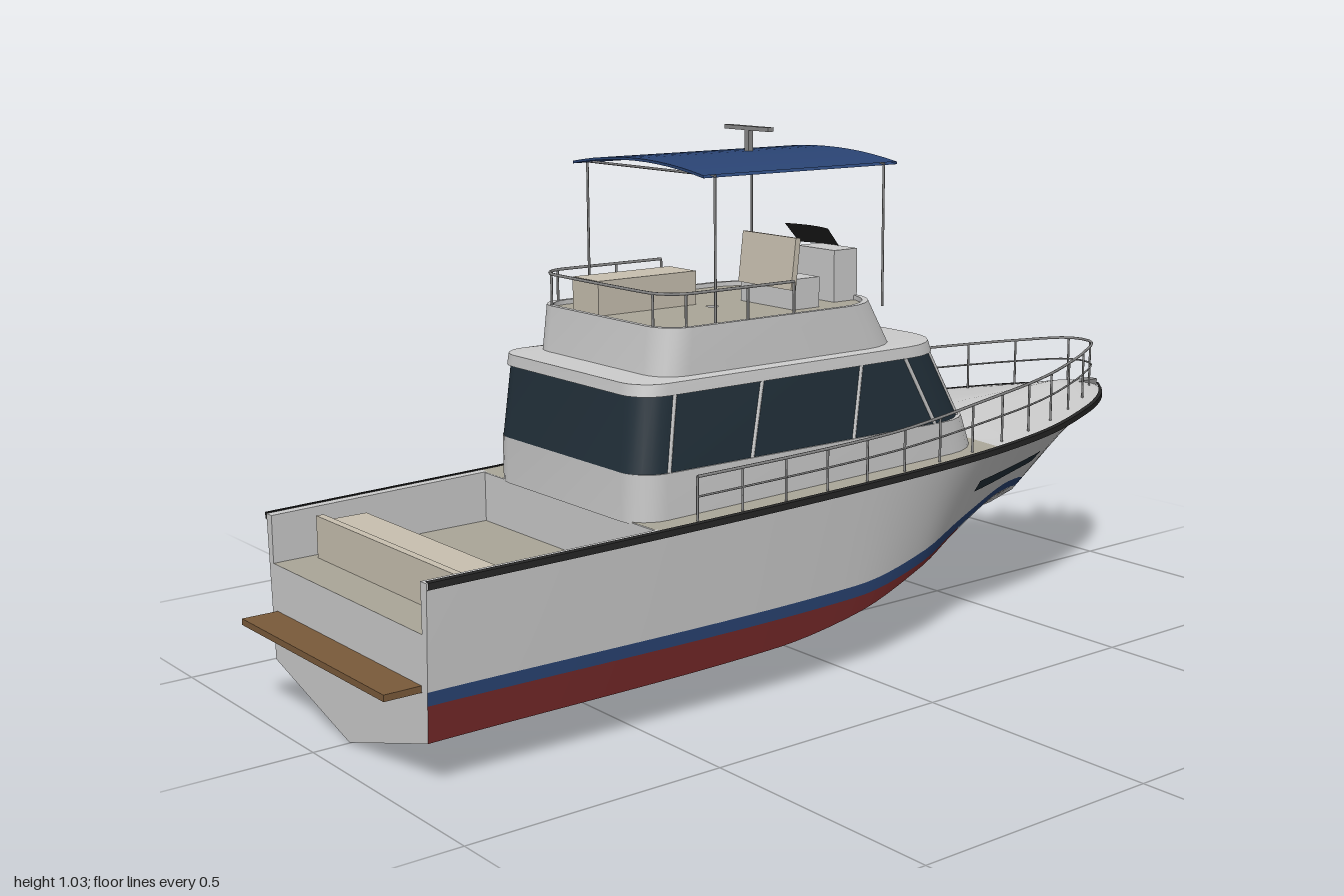
import * as THREE from 'three';
import { toCreasedNormals, mergeGeometries } from 'three/addons/utils/BufferGeometryUtils.js';

const V = (x, y, z) => new THREE.Vector3(x, y, z);
const mat = (color) => new THREE.MeshStandardMaterial({ color, side: THREE.DoubleSide });
const M = {
  grey: mat(0xcccccc), red: mat(0x742828), blue: mat(0x2a4474), glass: mat(0x22303a), dark: mat(0x262626),
  deck: mat(0xaaa698), cushion: mat(0xc8c0b0), wood: mat(0x7a5a3a), metal: mat(0x8a8a8a),
};

// Smooth curve through [x, value] points
function curve(pts) {
  const slope = (i) => {
    const a = pts[Math.max(i - 1, 0)], b = pts[Math.min(i + 1, pts.length - 1)];
    return (b[1] - a[1]) / (b[0] - a[0]);
  };
  return (x) => {
    let i = 0;
    while (i < pts.length - 2 && x > pts[i + 1][0]) i++;
    const [x0, a] = pts[i], [x1, b] = pts[i + 1], h = x1 - x0;
    const t = THREE.MathUtils.clamp((x - x0) / h, 0, 1), t2 = t * t, t3 = t2 * t;
    return a * (2 * t3 - 3 * t2 + 1) + b * (3 * t2 - 2 * t3) + h * (slope(i) * (t3 - 2 * t2 + t) + slope(i + 1) * (t3 - t2));
  };
}

// Hull lines: the chine rises to meet the painted stripe and follows it to the stem
const keelY = curve([[-0.93, 0], [-0.5, 0], [-0.3, 0], [-0.15, 0.01], [0.06, 0.05], [0.3, 0.11], [0.55, 0.162], [0.68, 0.178], [0.74, 0.213], [0.87, 0.305], [0.99, 0.395]]);
const chineYRaw = curve([[-0.93, 0.08], [-0.2, 0.09], [0, 0.115], [0.2, 0.165], [0.4, 0.212], [0.55, 0.235], [0.65, 0.222], [0.71, 0.2], [0.74, 0.213]]);
const chineZRaw = curve([[-0.93, 0.275], [0, 0.283], [0.2, 0.255], [0.33, 0.208], [0.5, 0.145], [0.6, 0.102], [0.68, 0.045], [0.74, 0]]);
const sheerY = curve([[-0.93, 0.355], [-0.4, 0.365], [0.4, 0.385], [0.99, 0.402]]);
const sheerZ = curve([[-0.93, 0.287], [-0.5, 0.3], [-0.1, 0.305], [0.2, 0.298], [0.4, 0.278], [0.6, 0.235], [0.8, 0.155], [0.9, 0.098], [0.96, 0.048], [0.99, 0.004]]);
const stripeY = curve([[-0.93, 0.157], [0, 0.162], [0.2, 0.188], [0.4, 0.228], [0.55, 0.25], [0.65, 0.237], [0.74, 0.205], [0.78, 0.15]]);
const chineY = (x) => (x < 0.74 ? Math.max(chineYRaw(x), keelY(x)) : keelY(x));
const chineZ = (x) => (x < 0.74 ? Math.max(chineZRaw(x), 0) : 0);
const sidePoint = (x, y, out = 0) => {
  const f = (y - chineY(x)) / (sheerY(x) - chineY(x));
  return V(x, y, THREE.MathUtils.lerp(chineZ(x), sheerZ(x), f) + out);
};

const range = (a, b, n) => Array.from({ length: n + 1 }, (_, i) => a + (b - a) * i / n);
const flip = (p) => V(p.x, p.y, -p.z);

// Surface through rows of points, optionally keeping only chosen cells
function surface(rows, keep = () => true) {
  const pos = [];
  for (let i = 0; i < rows.length - 1; i++) for (let j = 0; j < rows[0].length - 1; j++) {
    if (!keep(i, j)) continue;
    const a = rows[i][j], b = rows[i + 1][j], c = rows[i + 1][j + 1], d = rows[i][j + 1];
    for (const p of [a, b, c, a, c, d]) pos.push(p.x, p.y, p.z);
  }
  const g = new THREE.BufferGeometry();
  g.setAttribute('position', new THREE.Float32BufferAttribute(pos, 3));
  return toCreasedNormals(g, 0.5);
}

// Outline with rounded corners, seen from above; the front corners are larger
function ring(x0, x1, hz, y, scale = 1) {
  const pts = [], f = 0.12 * scale, r = 0.06 * scale;
  const corner = (cx, cz, rad, a) => {
    for (let i = 0; i <= 6; i++) {
      const t = a - (i / 6) * Math.PI / 2;
      pts.push(V(cx + rad * Math.cos(t), y, cz + rad * Math.sin(t)));
    }
  };
  corner(x1 - f, hz - f, f, Math.PI / 2);
  corner(x1 - f, f - hz, f, 0);
  corner(x0 + r, r - hz, r, -Math.PI / 2);
  corner(x0 + r, hz - r, r, -Math.PI);
  pts.push(pts[0].clone());
  return pts;
}

function barGeometry(p, q, r) {
  const d = q.clone().sub(p);
  const g = new THREE.CylinderGeometry(r, r, d.length(), 6);
  g.applyQuaternion(new THREE.Quaternion().setFromUnitVectors(V(0, 1, 0), d.clone().normalize()));
  const c = p.clone().add(q).multiplyScalar(0.5);
  return g.translate(c.x, c.y, c.z);
}
const tube = (pts, r) => new THREE.TubeGeometry(new THREE.CatmullRomCurve3(pts), pts.length * 4, r, 6);

export function createModel() {
  const boat = new THREE.Group();
  boat.name = 'motorYacht';
  const add = (name, geo, m) => {
    const mesh = new THREE.Mesh(geo, m);
    mesh.name = name;
    boat.add(mesh);
    return mesh;
  };
  // Box from its minimum and maximum corners
  const box = (name, m, x0, x1, y0, y1, z0, z1) => add(name,
    new THREE.BoxGeometry(x1 - x0, y1 - y0, z1 - z0).translate((x0 + x1) / 2, (y0 + y1) / 2, (z0 + z1) / 2), m);

  // Hull: sections from keel to sheer, painted cell by cell
  const xs = range(-0.93, 0.99, 64);
  const section = (x) => {
    const k = V(x, keelY(x), 0), c = V(x, chineY(x), chineZ(x));
    const lim = (y) => THREE.MathUtils.clamp(y, c.y, sheerY(x));
    const sb = lim(stripeY(x) - 0.012), st = lim(stripeY(x) + 0.012);
    return [k, k.clone().lerp(c, 0.5), c, sidePoint(x, sb), ...range(st, sheerY(x), 4).map((y) => sidePoint(x, y))];
  };
  const paint = (i, j) => {
    const x = xs[i];
    if (j === 3) return 'blue';
    if (j > 3) return 'grey';
    if (j === 0) return x < 0.34 ? 'red' : x < 0.46 ? 'blue' : 'grey';
    if (j === 1) return x < 0.2 ? 'red' : x < 0.34 ? 'blue' : 'grey';
    return x < 0.34 ? 'red' : 'grey';
  };
  const half = xs.map(section), mirrored = half.map((s) => s.map(flip));
  for (const c of ['grey', 'blue', 'red']) {
    const keep = (i, j) => paint(i, j) === c;
    add(c + 'HullPaint', mergeGeometries([surface(half, keep), surface(mirrored, keep)]), M[c]);
  }

  // Transom with the open stern between the bulwarks
  const zs = sheerZ(-0.93), ys = sheerY(-0.93), floorY = 0.265;
  const stern = new THREE.Shape([[0, 0], [0.275, 0.08], [zs, ys], [zs - 0.02, ys], [zs - 0.02, floorY],
    [0.02 - zs, floorY], [0.02 - zs, ys], [-zs, ys], [-0.275, 0.08]].map((p) => new THREE.Vector2(...p)));
  add('transom', new THREE.ShapeGeometry(stern).rotateY(-Math.PI / 2).translate(-0.93, 0, 0), M.grey);
  box('swimPlatform', M.wood, -1, -0.925, 0.164, 0.176, -0.26, 0.26);

  // Bulwarks, rub rails and hull windows on both sides
  for (const s of [1, -1]) {
    const side = (p) => (s > 0 ? p : flip(p));
    const bulwark = range(-0.93, -0.46, 8).map((x) => {
      const z = sheerZ(x), y = sheerY(x);
      return [V(x, y, z), V(x, y, z - 0.02), V(x, floorY, z - 0.02)].map(side);
    });
    add('bulwark', surface(bulwark), M.grey);
    const rub = xs.map((x) => {
      const z = sheerZ(x), y = sheerY(x);
      return [[y - 0.012, z - 0.002], [y - 0.01, z + 0.005], [y + 0.002, z + 0.005], [y + 0.003, z - 0.005]]
        .map(([yy, zz]) => side(V(x + (x > 0.98 ? 0.01 : 0), yy, Math.max(zz, 0))));
    });
    add('rubRail', surface(rub), M.dark);
    const pane = range(0.36, 0.63, 8).map((x) => [0.297, 0.32].map((y) => side(sidePoint(x + (y - 0.3) * 0.4, y + (x - 0.5) * 0.03, 0.004))));
    add('hullWindow', surface(pane), M.glass);
  }

  // Decks: flat beside the house, cambered on the foredeck
  const deckRow = (x) => range(-1, 1, 10).map((t) => {
    const z = sheerZ(x) * t;
    const rise = 0.027 * THREE.MathUtils.smoothstep(x, 0.33, 0.48) * Math.min(1, sheerZ(x) / 0.12);
    return V(x, sheerY(x) + rise * (1 - Math.abs(t)), z);
  });
  add('sideDeck', surface(range(-0.47, 0.4, 20).map(deckRow)), M.deck);
  add('foredeck', surface(range(0.4, 0.99, 24).map(deckRow)), M.grey);
  box('bowRoller', M.metal, 0.93, 0.99, 0.4, 0.415, -0.012, 0.012);

  // Cockpit: floor fitted between the bulwarks, with a bench across the stern
  const floor = range(-0.93, -0.46, 8).map((x) => [1, -1].map((s) => V(x, floorY, s * (sheerZ(x) - 0.02))));
  add('cockpitFloor', surface(floor), M.deck);
  box('cockpitBulkhead', M.grey, -0.47, -0.46, floorY, 0.362, -0.28, 0.28);
  box('sternBench', M.cushion, -0.835, -0.75, floorY, 0.335, -0.245, 0.245);
  box('sternBenchBack', M.cushion, -0.85, -0.835, floorY, 0.345, -0.25, 0.25);

  // Deckhouse: coaming, window band, roof slab and flybridge
  const winLow = ring(-0.475, 0.375, 0.243, 0.45), winHigh = ring(-0.46, 0.3, 0.235, 0.588);
  add('houseCoaming', surface([ring(-0.475, 0.42, 0.246, 0.36), ring(-0.475, 0.385, 0.246, 0.45), winLow]), M.grey);
  add('windowBand', surface([winLow, winHigh]), M.glass);
  add('houseRoof', surface([winHigh, ring(-0.466, 0.307, 0.238, 0.588), ring(-0.464, 0.3, 0.235, 0.61), ring(-0.4, 0.21, 0.214, 0.613)]), M.grey);
  add('flybridge', surface([ring(-0.4, 0.21, 0.214, 0.613), ring(-0.39, 0.16, 0.212, 0.7),
    ring(-0.38, 0.15, 0.202, 0.7, 0.95), ring(-0.38, 0.15, 0.202, 0.69, 0.95)]), M.grey);
  add('flybridgeFloor', surface([ring(-0.38, 0.15, 0.202, 0.691, 0.95), ring(-0.13, -0.11, 0.01, 0.691, 0.05)]), M.deck);

  // Window pillars
  const pillars = [[V(0.375, 0.45, 0), V(0.3, 0.588, 0)]];
  for (const i of [3, 10]) pillars.push([winLow[i], winHigh[i]]);
  for (const s of [1, -1]) for (const [a, b] of [[-0.41, -0.39], [-0.22, -0.19], [0.03, 0.055], [0.245, 0.17]])
    pillars.push([V(a, 0.45, s * 0.243), V(b, 0.588, s * 0.235)]);
  add('windowPillars', mergeGeometries(pillars.map(([p, q]) => barGeometry(p, q, 0.004))), M.grey);

  // Deck rail running round the bow
  const railY = curve([[-0.46, 0.445], [0.1, 0.46], [0.4, 0.485], [0.94, 0.51]]);
  const railXs = range(-0.38, 0.94, 13);
  const railLine = (f) => {
    const p = railXs.map((x) => V(x, THREE.MathUtils.lerp(sheerY(x), railY(x), f), sheerZ(x) - 0.016 - 0.02 * Math.max(x, 0)));
    return [...p, ...p.map(flip).reverse()];
  };
  const top = railLine(1), foot = railLine(0);
  add('deckRail', mergeGeometries([tube(top, 0.003), tube(railLine(0.55), 0.002),
    ...top.map((p, i) => barGeometry(foot[i], p, 0.0025))]), M.metal);

  // Flybridge rail round the stern end
  const aft = ring(-0.385, 0.155, 0.207, 0.76);
  const bridgeRail = [V(-0.09, 0.76, -0.207), V(-0.2, 0.76, -0.207), ...aft.slice(14, 28), V(-0.2, 0.76, 0.207), V(-0.09, 0.76, 0.207)];
  const posts = [0, 1, 3, 7, 10, 14, 16, 17].map((i) => bridgeRail[i]);
  add('flybridgeRail', mergeGeometries([tube(bridgeRail, 0.003),
    ...posts.map((p) => barGeometry(V(p.x, 0.69, p.z), p, 0.0025))]), M.metal);

  // Flybridge furniture
  box('loungeBench', M.cushion, -0.36, -0.13, 0.69, 0.757, -0.125, -0.04);
  box('helmSeat', M.grey, -0.03, 0.035, 0.69, 0.75, -0.025, 0.135);
  const seatBack = box('helmSeatBack', M.cushion, -0.006, 0.006, -0.05, 0.05, -0.08, 0.08);
  seatBack.position.set(-0.027, 0.779, 0.058);
  seatBack.rotation.z = -0.12;
  box('helmConsole', M.grey, 0.095, 0.155, 0.69, 0.793, 0, 0.11);
  const screen = range(-0.066, 0.066, 8).map((z) => {
    const bend = 3 * z * z;
    return [V(0.165 - bend, 0.79, z * 0.95), V(0.13 - bend, 0.83, z)];
  });
  add('helmScreen', surface(screen), M.dark);

  // Canopy on four poles
  const arch = range(-0.205, 0.205, 12).map((z) => [z, 0.986 - 0.018 * (z / 0.205) ** 2]);
  const canopyRows = arch.map(([z, y]) => [V(-0.3, y - 0.005, z), V(-0.3, y, z), V(0.17, y, z), V(0.17, y - 0.005, z), V(-0.3, y - 0.005, z)]);
  add('canopy', surface(canopyRows), M.blue);
  const poles = [];
  for (const x of [-0.27, 0.14]) {
    for (const s of [1, -1]) poles.push(barGeometry(V(x, 0.69, s * 0.2), V(x, 0.966, s * 0.2), 0.0025));
    poles.push(barGeometry(V(x, 0.966, -0.2), V(x, 0.966, 0.2), 0.0025));
  }
  add('canopyPoles', mergeGeometries(poles), M.metal);

  // Radar
  box('radarPost', M.metal, -0.036, -0.024, 0.975, 1.028, -0.006, 0.006);
  box('radarBar', M.metal, -0.037, -0.023, 1.026, 1.034, -0.067, 0.067);
  return boat;
}
